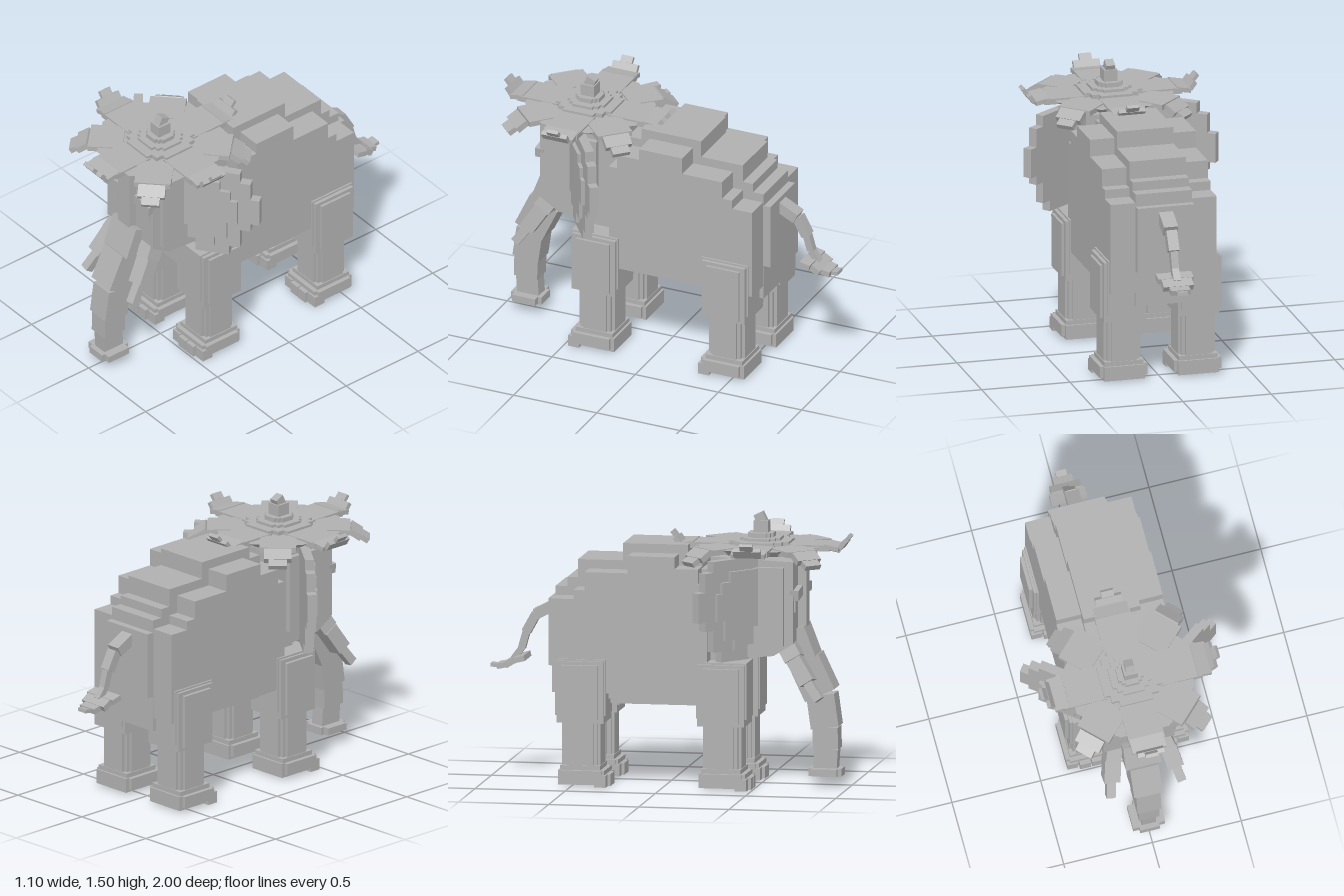
import * as THREE from 'three';

const stone = new THREE.MeshStandardMaterial({ color: 0xb0b0b0, flatShading: true });
stone.name = 'stone grey';

function add(parent, geo, name) {
  const m = new THREE.Mesh(geo, stone);
  m.name = name;
  parent.add(m);
  return m;
}
// Box from its min and max corners
function box(parent, name, x0, x1, y0, y1, z0, z1) {
  const m = add(parent, new THREE.BoxGeometry(x1 - x0, y1 - y0, z1 - z0), name);
  m.position.set((x0 + x1) / 2, (y0 + y1) / 2, (z0 + z1) / 2);
  return m;
}
function extrude(points, depth) {
  const shape = new THREE.Shape(points.map(p => new THREE.Vector2(...p)));
  return new THREE.ExtrudeGeometry(shape, { depth, bevelEnabled: false });
}
// Side outline given as [z, y], centred on x = 0
function sideSlab(parent, name, points, half) {
  const g = extrude(points, half * 2);
  g.translate(0, 0, -half).rotateY(-Math.PI / 2);
  return add(parent, g, name);
}
// Box laid between two points, w across x and d in depth
function link(parent, name, a, b, w, d) {
  const p = new THREE.Vector3(...a), q = new THREE.Vector3(...b);
  const dir = q.clone().sub(p), len = dir.length();
  dir.normalize();
  const x = new THREE.Vector3(1, 0, 0).addScaledVector(dir, -dir.x).normalize();
  const m = add(parent, new THREE.BoxGeometry(w, len, d), name);
  m.quaternion.setFromRotationMatrix(new THREE.Matrix4().makeBasis(x, dir, x.clone().cross(dir)));
  m.position.copy(p.add(q).multiplyScalar(0.5));
  return m;
}
function chain(parent, name, pts, sizes) {
  sizes.forEach(([w, d], i) => link(parent, name, pts[i], pts[i + 1], w, d));
}
function group(parent, name) {
  const g = new THREE.Group();
  g.name = name;
  parent.add(g);
  return g;
}

function buildBody(root) {
  const body = group(root, 'body');
  sideSlab(body, 'spine', [
    [0.25, 0.44], [0.25, 1.18], [0.2, 1.18], [0.2, 1.26], [0.12, 1.26], [0.12, 1.325], [-0.24, 1.325],
    [-0.24, 1.23], [-0.49, 1.23], [-0.49, 1.13], [-0.55, 1.13], [-0.55, 1.08], [-0.615, 1.08], [-0.615, 0.44],
  ], 0.16);
  sideSlab(body, 'flanks', [
    [0.25, 0.515], [0.25, 1.13], [0.2, 1.13], [0.2, 1.21], [0.07, 1.21], [0.07, 1.275], [-0.19, 1.275],
    [-0.19, 1.18], [-0.43, 1.18], [-0.43, 1.08], [-0.49, 1.08], [-0.49, 1.03], [-0.61, 1.03], [-0.61, 0.515],
  ], 0.3);
  box(body, 'belly', -0.22, 0.22, 0.475, 0.6, -0.55, 0.22);
  box(body, 'chest', -0.2, 0.2, 0.46, 1.2, 0.2, 0.41);
  box(body, 'rumpPlate', -0.16, 0.16, 0.64, 1.01, -0.655, -0.6);
}

function buildLeg(root, name, side, z) {
  const leg = group(root, name);
  leg.position.set(side * 0.21, 0, z);
  box(leg, 'thigh', -0.115, 0.12, 0.35, 0.69, -0.13, 0.13);
  box(leg, 'thighCore', -0.1, 0.1, 0.39, 0.7, -0.14, 0.14);
  box(leg, 'thighPlate', side > 0 ? 0.1 : -0.135, side > 0 ? 0.135 : -0.1, 0.37, 0.67, -0.1, 0.1);
  // Notched shin from crossing boxes
  box(leg, 'shin', -0.105, 0.105, 0.08, 0.36, -0.07, 0.07);
  box(leg, 'shin', -0.07, 0.07, 0.08, 0.36, -0.107, 0.107);
  box(leg, 'shin', -0.09, 0.09, 0.08, 0.36, -0.09, 0.09);
  box(leg, 'ankle', -0.11, 0.11, 0.08, 0.115, -0.11, 0.11);
  // Foot with clipped corners
  box(leg, 'foot', -0.135, 0.135, 0.025, 0.09, -0.1, 0.12);
  box(leg, 'foot', -0.115, 0.115, 0.01, 0.09, -0.122, 0.135);
  for (let i = 0; i < 4; i++) {
    const x = -0.102 + i * 0.068;
    box(leg, 'toe', x - 0.03, x + 0.03, 0, 0.065, 0.08, i % 3 ? 0.16 : 0.145);
  }
}

function buildEar(root, side) {
  const ear = group(root, side > 0 ? 'leftEar' : 'rightEar');
  const outer = [
    [0, 0.8], [0.08, 0.8], [0.08, 0.72], [0.27, 0.72], [0.27, 0.78], [0.33, 0.78], [0.33, 0.9], [0.39, 0.9],
    [0.39, 0.95], [0.44, 0.95], [0.44, 1.115], [0.39, 1.115], [0.39, 1.22], [0.33, 1.22], [0.33, 1.28], [0, 1.28],
  ];
  const inner = [
    [0.02, 0.9], [0.06, 0.9], [0.06, 0.84], [0.11, 0.84], [0.11, 0.78], [0.19, 0.78], [0.19, 0.84], [0.26, 0.84],
    [0.26, 0.95], [0.32, 0.95], [0.32, 1.1], [0.28, 1.1], [0.28, 1.16], [0.22, 1.16], [0.22, 1.215], [0.02, 1.215],
  ];
  // Mirrored outlines are reversed by the shape itself
  const flip = pts => pts.map(([u, y]) => [u * side, y]);
  add(ear, extrude(flip(outer), 0.05), 'earFlap').position.z = -0.03;
  add(ear, extrude(flip(inner), 0.025), 'earInner').position.z = 0.015;
  ear.position.set(side * 0.19, 0, 0.5);
  ear.rotation.y = side * 0.65;
}

function buildHead(root) {
  const head = group(root, 'head');
  sideSlab(head, 'skull', [[0.25, 0.7], [0.6, 0.73], [0.71, 0.8], [0.71, 1.25], [0.25, 1.27]], 0.2);
  box(head, 'cheekPanel', -0.23, 0.23, 0.79, 1.22, 0.36, 0.66);
  box(head, 'foreheadRidge', -0.05, 0.05, 0.85, 1.235, 0.66, 0.755);
  for (const s of [-1, 1]) {
    box(head, 'eye', s * 0.14 - 0.036, s * 0.14 + 0.036, 0.97, 1.04, 0.7, 0.718);
    box(head, 'brow', s * 0.135 - 0.065, s * 0.135 + 0.065, 1.045, 1.1, 0.69, 0.74).rotation.z = -s * 0.12;
    chain(head, s > 0 ? 'leftTusk' : 'rightTusk',
      [[s * 0.12, 0.84, 0.63], [s * 0.155, 0.71, 0.71], [s * 0.18, 0.585, 0.79], [s * 0.2, 0.495, 0.855]],
      [[0.085, 0.1], [0.09, 0.085], [0.05, 0.05]]);
    buildEar(head, s);
  }
  // Trunk narrows and straightens downward
  chain(head, 'trunk',
    [[0, 0.86, 0.68], [0, 0.69, 0.745], [0, 0.5, 0.835], [0, 0.32, 0.86], [0, 0.2, 0.863], [0, 0.07, 0.855]],
    [[0.2, 0.15], [0.16, 0.18], [0.135, 0.155], [0.115, 0.14], [0.08, 0.13]]);
  box(head, 'trunkTip', -0.09, 0.09, 0.055, 0.095, 0.79, 0.93);
  box(head, 'trunkTip', -0.055, 0.055, 0.052, 0.095, 0.768, 0.95);
}

function buildTail(root) {
  const tail = group(root, 'tail');
  chain(tail, 'tailLink',
    [[0, 0.96, -0.63], [0, 0.9, -0.75], [0, 0.8, -0.805], [0, 0.71, -0.83], [0, 0.65, -0.875]],
    [[0.08, 0.06], [0.06, 0.05], [0.04, 0.04], [0.04, 0.035]]);
  // Tuft widens then steps to a point
  chain(tail, 'tuft',
    [[0, 0.665, -0.8], [0, 0.65, -0.86], [0, 0.62, -0.91], [0, 0.61, -0.96], [0, 0.615, -1]],
    [[0.2, 0.03], [0.17, 0.035], [0.11, 0.03], [0.06, 0.02]]);
}

function buildFlower(root) {
  const hat = group(root, 'flowerCrown');
  hat.position.set(0, 0, 0.5);
  const disc = add(hat, new THREE.CylinderGeometry(0.36, 0.3, 0.035, 8), 'crownDisc');
  disc.position.y = 1.305;
  disc.rotation.y = Math.PI / 8;
  for (let i = 0; i < 8; i++) {
    const curl = i % 2 === 0;
    const petal = group(hat, curl ? 'risingPetal' : 'droopingPetal');
    petal.rotation.y = i * Math.PI / 4;
    if (curl) {
      box(petal, 'petalBase', -0.1, 0.1, 1.3, 1.332, 0.15, 0.39);
      chain(petal, 'petalTip',
        [[0, 1.325, 0.36], [0, 1.31, 0.44], [0, 1.35, 0.47], [0, 1.38, 0.495]],
        [[0.19, 0.025], [0.15, 0.025], [0.07, 0.02]]);
    } else {
      chain(petal, 'petalTip',
        [[0, 1.315, 0.2], [0, 1.31, 0.39], [0, 1.27, 0.45], [0, 1.245, 0.49]],
        [[0.2, 0.03], [0.15, 0.035], [0.1, 0.03]]);
    }
  }
  // Stepped centre
  for (const [r, y0, y1] of [[0.165, 1.31, 1.345], [0.11, 1.31, 1.36], [0.07, 1.31, 1.385]]) {
    box(hat, 'centreStep', -r, r, y0, y1, -r * 0.55, r * 0.55);
    box(hat, 'centreStep', -r * 0.55, r * 0.55, y0, y1, -r, r);
    box(hat, 'centreStep', -r * 0.8, r * 0.8, y0, y1, -r * 0.8, r * 0.8);
  }
  box(hat, 'knob', -0.038, 0.038, 1.36, 1.45, -0.04, 0.04);
  box(hat, 'knobTip', -0.025, 0.025, 1.42, 1.49, -0.03, 0.025).rotation.x = -0.45;
}

export function createModel() {
  const root = new THREE.Group();
  root.name = 'elephant';
  buildBody(root);
  for (const s of [-1, 1]) {
    buildLeg(root, s > 0 ? 'frontLeftLeg' : 'frontRightLeg', s, 0.33);
    buildLeg(root, s > 0 ? 'backLeftLeg' : 'backRightLeg', s, -0.45);
  }
  buildHead(root);
  buildTail(root);
  buildFlower(root);
  return root;
}
